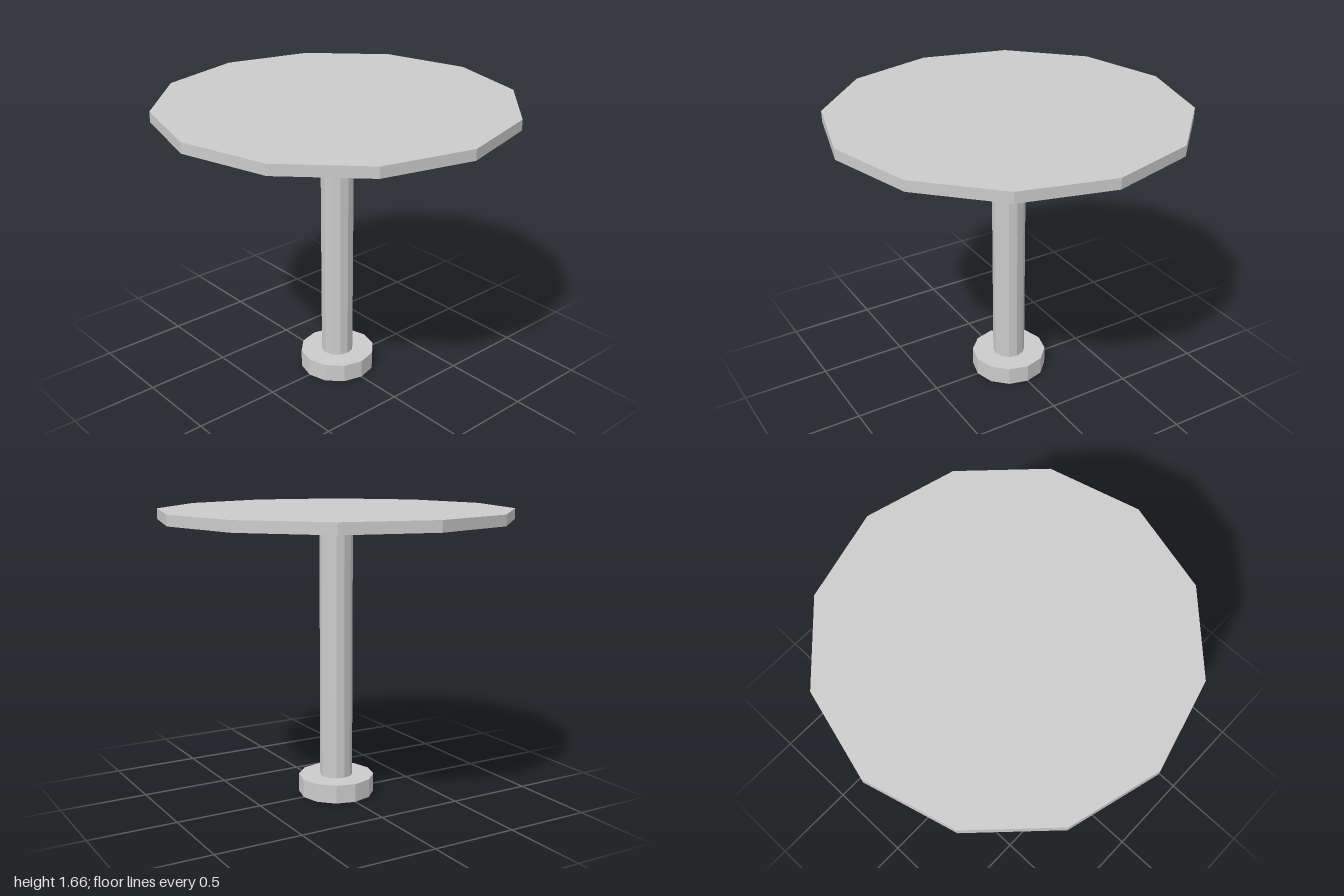
import * as THREE from 'three';

const SIDES = 12;

export function createModel() {
  const model = new THREE.Group();
  model.name = 'pedestalTable';
  const material = new THREE.MeshStandardMaterial({ color: 0xcccccc, flatShading: true });

  // Upright twelve-sided disc or post between two heights
  const addPrism = (name, radius, bottom, top) => {
    const geometry = new THREE.CylinderGeometry(radius, radius, top - bottom, SIDES);
    const mesh = new THREE.Mesh(geometry, material);
    mesh.name = name;
    mesh.position.y = (bottom + top) / 2;
    model.add(mesh);
  };

  addPrism('base', 0.219, 0, 0.107);
  addPrism('column', 0.094, 0.107, 1.6);
  addPrism('tabletop', 1, 1.6, 1.66);

  return model;
}
